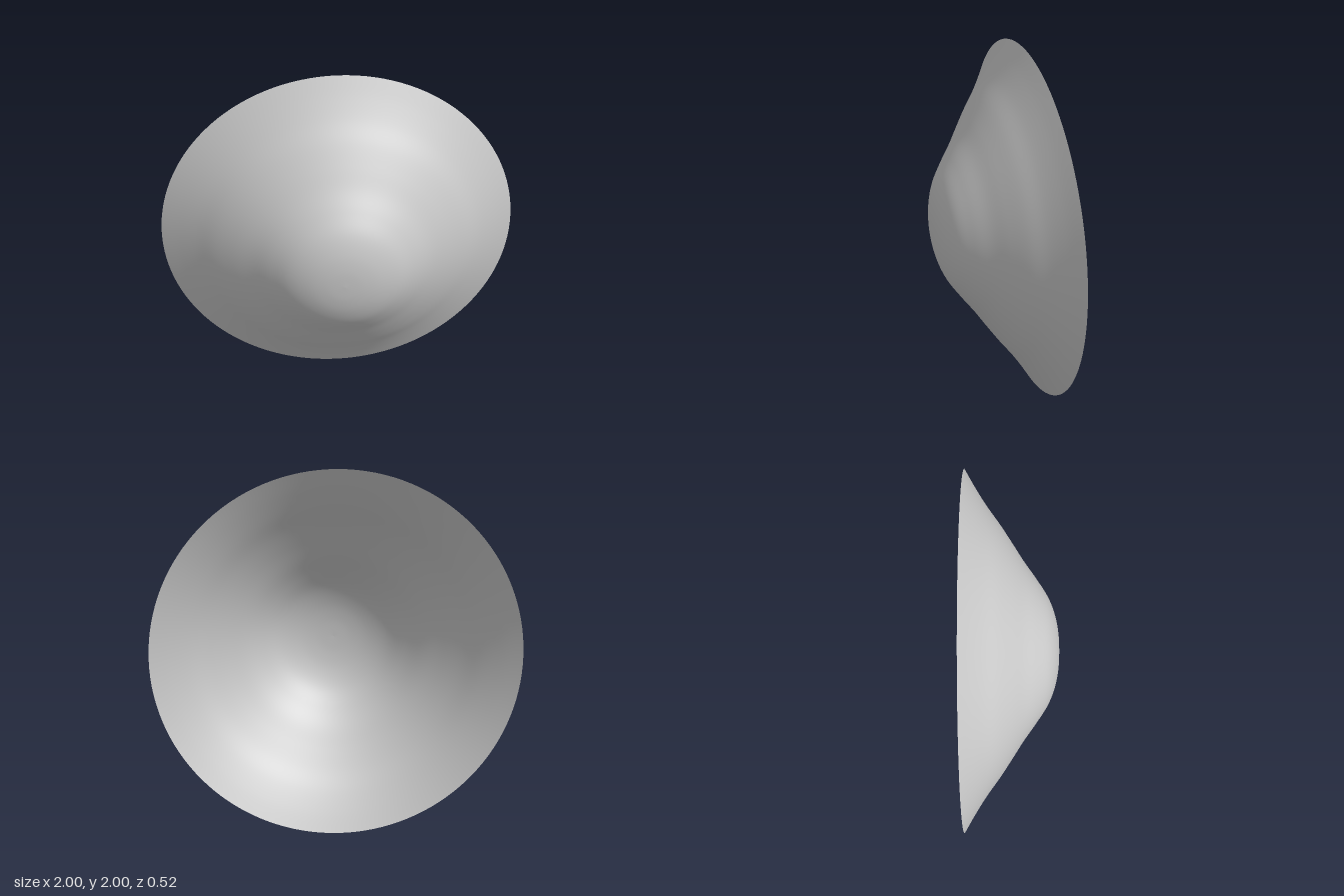
import * as THREE from 'three';

export function createModel() {
  const group = new THREE.Group();

  // Radius and depth of the dish, from the open rim to the domed centre
  const profile = new THREE.SplineCurve([
    [1, -0.26], [0.9, -0.203], [0.8, -0.14], [0.7, -0.068], [0.6, -0.002], [0.5, 0.062],
    [0.4, 0.133], [0.3, 0.197], [0.2, 0.236], [0.1, 0.255], [0, 0.26],
  ].map(([r, z]) => new THREE.Vector2(r, z)));
  const points = profile.getPoints(60);
  points[points.length - 1].x = 0;

  // Thin open shell with its dome facing forward
  const geometry = new THREE.LatheGeometry(points, 128);
  geometry.rotateX(Math.PI / 2);
  geometry.translate(0, 1, 0);
  const material = new THREE.MeshStandardMaterial({ color: 0xcccccc, side: THREE.DoubleSide });
  const dish = new THREE.Mesh(geometry, material);
  dish.name = 'dishShell';
  group.add(dish);

  return group;
}
